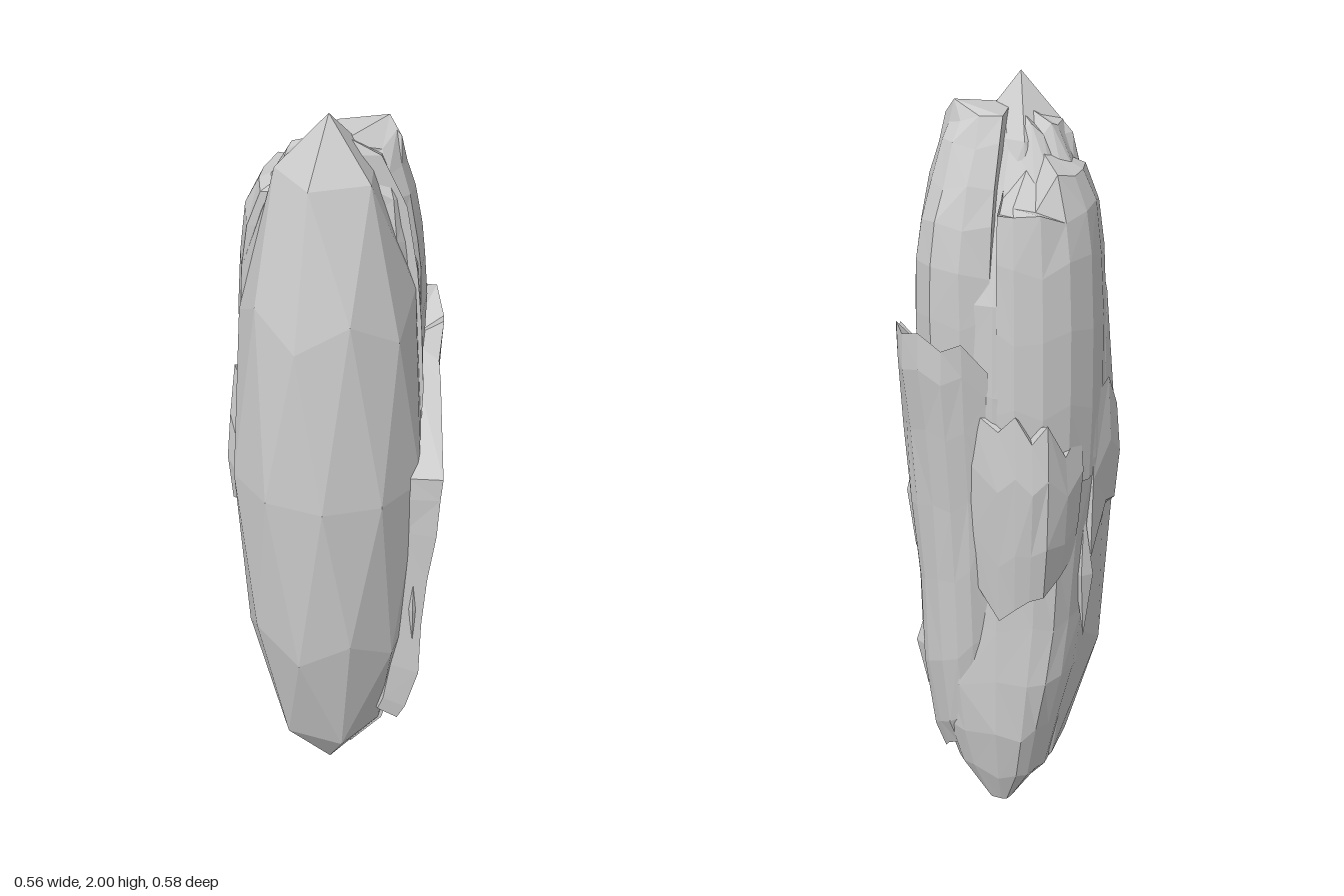
import * as THREE from 'three';

const stone = new THREE.MeshStandardMaterial({ color: 0xcccccc, flatShading: true, side: THREE.DoubleSide });

// repeatable roughness in -1..1
const rough = (a, b) => {
  const s = Math.sin(a * 127.1 + b * 311.7) * 43758.5453;
  return (s - Math.floor(s)) * 2 - 1;
};

// skin rings of points (bottom to top), closing both ends with a fan to a tip
function loft(name, rings, bottomTip, topTip) {
  const n = rings[0].length, pos = [];
  const tri = (a, b, c) => pos.push(...a, ...b, ...c);
  const mean = r => [0, 1, 2].map(k => r.reduce((s, p) => s + p[k], 0) / n);
  const last = rings[rings.length - 1];
  const low = bottomTip || mean(rings[0]), high = topTip || mean(last);
  for (let i = 0; i < n; i++) {
    const j = (i + 1) % n;
    tri(low, rings[0][i], rings[0][j]);
    tri(high, last[j], last[i]);
    for (let r = 0; r + 1 < rings.length; r++) {
      const a = rings[r], b = rings[r + 1];
      if (r % 2) { tri(a[i], b[i], a[j]); tri(b[i], b[j], a[j]); }
      else { tri(a[i], b[i], b[j]); tri(a[i], b[j], a[j]); }
    }
  }
  const g = new THREE.BufferGeometry();
  g.setAttribute('position', new THREE.Float32BufferAttribute(pos, 3));
  g.computeVertexNormals();
  const mesh = new THREE.Mesh(g, stone);
  mesh.name = name;
  return mesh;
}

// layer of rock around the core: outline points are [x, z, bottom y, top y],
// rows are [height 0..1, scale towards the axis]
function layer(name, outline, rows) {
  return loft(name, rows.map(([t, s], r) => outline.map(([x, z, y0, y1], i) => {
    const k = s * (1 + (t > 0 && t < 1 ? 0.02 * rough(i + 3, r + 7) : 0));
    return [x * k, y0 + (y1 - y0) * t, z * k];
  })));
}

export function createModel() {
  const group = new THREE.Group();
  group.name = 'standingStone';

  // core: stretched faceted ball with a vertex at each pole
  const ball = new THREE.IcosahedronGeometry(1, 1);
  ball.rotateZ(Math.atan(2 / (1 + Math.sqrt(5))));
  ball.scale(0.253, 1, 0.25).translate(-0.02, 1, 0.04);
  const core = new THREE.Mesh(ball, stone);
  core.name = 'core';
  group.add(core);

  // back mass squaring off the rear half: y, min x, max x, back z
  const sections = [
    [0.06, -0.05, 0.04, -0.16], [0.15, -0.12, 0.12, -0.19], [0.28, -0.16, 0.165, -0.215],
    [0.43, -0.2, 0.19, -0.225], [0.6, -0.225, 0.205, -0.21], [0.8, -0.24, 0.215, -0.215],
    [1.02, -0.255, 0.215, -0.235], [1.25, -0.255, 0.215, -0.24], [1.45, -0.25, 0.215, -0.235],
    [1.6, -0.235, 0.205, -0.2], [1.75, -0.19, 0.17, -0.14], [1.87, -0.13, 0.11, -0.06],
  ];
  const cx = -0.02, cz = 0.04;
  group.add(loft('backMass', sections.map(([y, x0, x1, z0], r) =>
    Array.from({ length: 11 }, (_, i) => {
      const a = Math.PI * (1 + i / 10);
      const c = Math.cos(a), s = Math.abs(Math.sin(a));
      const k = 1 + 0.03 * rough(i, r);
      return [
        cx + Math.sign(c) * Math.abs(c) ** 0.65 * (c > 0 ? x1 - cx : cx - x0) * k,
        y + (r ? 0.025 * rough(r, i) : 0),
        cz - s ** 0.65 * (cz - z0) * k,
      ];
    })), [cx, 0.04, -0.08], [0.0, 1.94, 0.02]));

  // upper left lobe, split from the right by a gully: y, x, back z, front z
  group.add(loft('leftLobe', [
    [1.2, 0.21, -0.25, 0.06], [1.42, 0.215, -0.25, 0.06], [1.55, 0.21, -0.245, 0.06],
    [1.66, 0.2, -0.225, 0.06], [1.76, 0.183, -0.19, 0.05], [1.85, 0.16, -0.145, 0.03],
    [1.9, 0.145, -0.11, 0.0],
  ].map(([y, x, z, front], r) => [
    [-0.01, z * 0.9], [x * 0.3, z], [x * 0.65, z * 0.98], [x * 0.9, z * 0.75],
    [x * 1.02, z * 0.4], [x * 0.98, front - 0.05], [x * 0.75, front], [0, 0.04],
  ].map(([px, pz], i) => [px + 0.004 * rough(r, i), y + 0.02 * rough(i, r), pz])), null, [0.12, 1.945, -0.075]));

  // upper right lobe sloping into the core, with a broken ledge at the back
  group.add(loft('rightLobe', [
    [1.0, 0.97], [1.2, 1], [1.4, 1], [1.57, 0.97], [1.69, 0.91], [1.79, 0.77],
  ].map(([y, s], r) => [
    [-0.1, 0.04], [-0.245, 0.04], [-0.258, -0.05], [-0.25, -0.13], [-0.21, -0.2],
    [-0.15, -0.245], [-0.08, -0.262], [-0.03, -0.245], [-0.02, -0.08],
  ].map(([px, pz], i) => [
    px * s, Math.min(y, pz < -0.22 ? 1.7 : 2) + 0.02 * rough(i + 9, r), pz * s,
  ])), null, [-0.08, 1.84, -0.04]));

  // broad broken layer wrapping the left side and back
  group.add(layer('leftLayer', [
    [-0.01, -0.25, 0.35, 1.3], [0.05, -0.282, 0.3, 1.38], [0.1, -0.288, 0.25, 1.36],
    [0.16, -0.28, 0.22, 1.4], [0.215, -0.235, 0.2, 1.38], [0.24, -0.2, 0.18, 1.4],
    [0.262, -0.13, 0.18, 1.35], [0.264, -0.085, 0.17, 1.36], [0.255, -0.04, 0.17, 1.27],
    [0.262, 0.0, 0.17, 1.23], [0.28, 0.165, 0.2, 1.04], [0.19, 0.15, 0.22, 1.03],
    [0.1, 0, 0.26, 1.2], [0.02, -0.14, 0.26, 1.28],
  ], [[0, 0.6], [0.06, 0.69], [0.22, 0.79], [0.42, 0.83], [0.6, 0.88], [0.78, 0.94], [0.92, 0.99], [1, 1]]));

  // thinner slab on the back
  group.add(layer('backSlab', [
    [-0.15, -0.1, 0.75, 1.1], [-0.235, -0.16, 0.78, 1.14], [-0.21, -0.22, 0.74, 1.08],
    [-0.175, -0.275, 0.7, 1.18], [-0.135, -0.285, 0.69, 1.13], [-0.09, -0.285, 0.66, 1.2],
    [-0.04, -0.27, 0.62, 1.15], [0.04, -0.255, 0.72, 1.2], [0.02, -0.12, 0.7, 1.15],
  ], [[0, 0.87], [0.3, 0.94], [0.7, 1], [1, 0.96]]));

  // flake on the right side
  group.add(layer('rightFlake', [
    [-0.18, 0.08, 0.88, 1.1], [-0.255, 0.09, 0.9, 1.06], [-0.28, 0.05, 0.88, 1.14],
    [-0.275, -0.03, 0.9, 1.24], [-0.25, -0.1, 0.76, 1.2], [-0.18, -0.08, 0.8, 1.2],
  ], [[0, 0.97], [0.5, 1], [1, 0.98]]));

  // long shards half sunk in the surface: x, z, mid y, half height, width, lean
  [
    [0.207, 0.125, 0.6, 0.2, 0.018, 0.02], [0.202, 0.04, 0.53, 0.19, 0.028, 0.02],
    [0.19, -0.11, 0.48, 0.12, 0.035, 0.1], [0.222, -0.09, 0.9, 0.15, 0.03, 0.15],
    [-0.235, -0.02, 0.88, 0.14, 0.025, 0], [-0.225, -0.1, 0.72, 0.18, 0.025, 0],
  ].forEach(([x, z, y, h, w, lean], i) => {
    const shard = new THREE.Mesh(new THREE.OctahedronGeometry(1), stone);
    shard.name = 'shard' + (i + 1);
    shard.scale.set(w, h, w);
    shard.position.set(x, y, z);
    shard.rotation.x = lean;
    group.add(shard);
  });

  return group;
}
